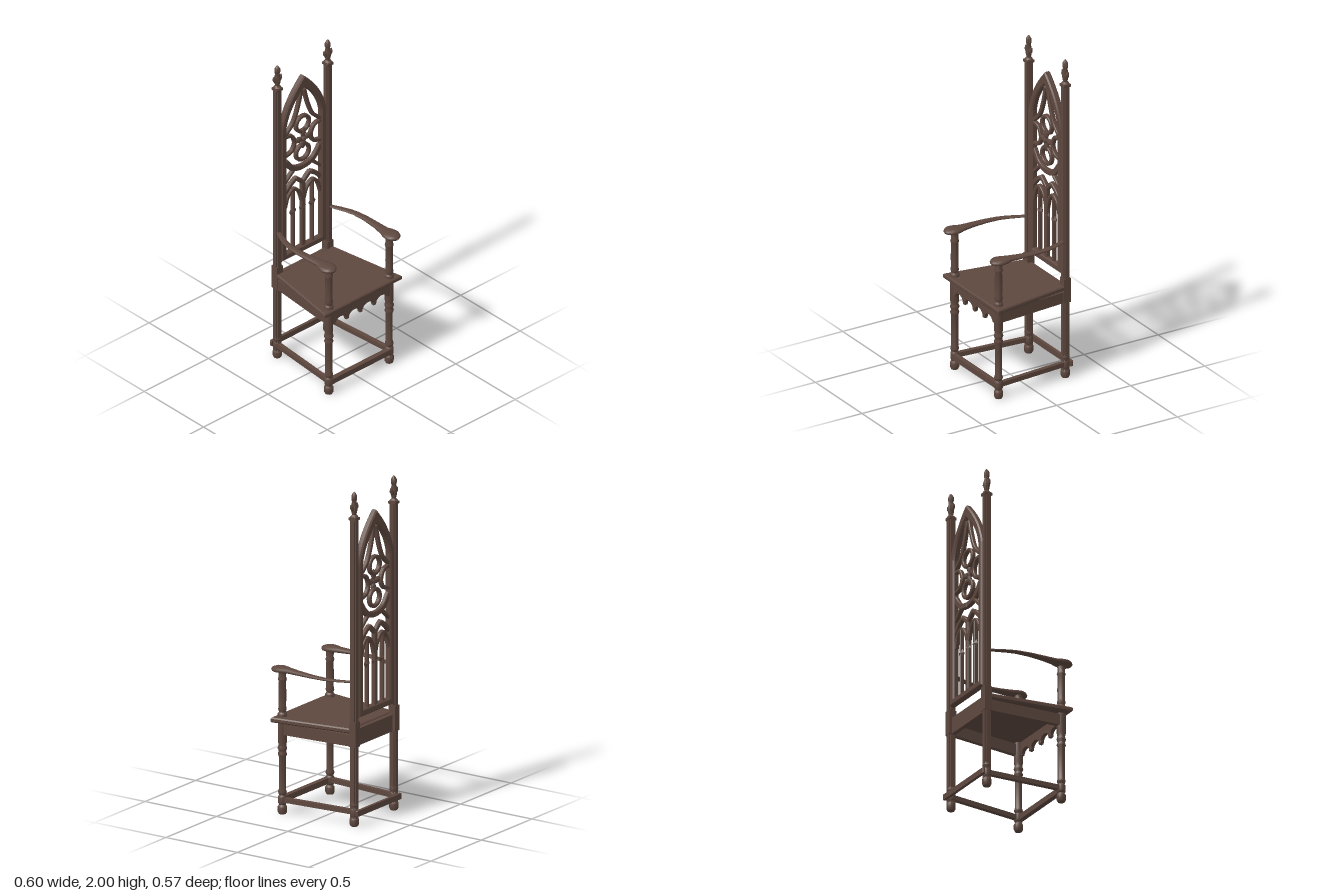
import * as THREE from 'three';
import { toCreasedNormals } from 'three/addons/utils/BufferGeometryUtils.js';

const V2 = (p) => new THREE.Vector2(p[0], p[1]);

export function createModel() {
  const chair = new THREE.Group();
  chair.name = 'chair';
  const wood = new THREE.MeshStandardMaterial({ color: 0x5e483f });
  wood.name = 'dark wood';

  const add = (name, geo, x = 0, y = 0, z = 0, parent = chair) => {
    const m = new THREE.Mesh(geo, wood);
    m.name = name;
    m.position.set(x, y, z);
    parent.add(m);
    return m;
  };
  const box = (name, w, h, d, x, y, z) => add(name, new THREE.BoxGeometry(w, h, d), x, y, z);
  const lathe = (pts, n = 12) => toCreasedNormals(new THREE.LatheGeometry(pts.map(V2), n), 0.7);

  // Flat shape thickened around z = 0, with a chamfered edge
  const plate = (shape, depth, bevel = 0.004) => {
    const g = new THREE.ExtrudeGeometry(shape, {
      depth: depth - 2 * bevel, bevelSize: bevel, bevelThickness: bevel,
      bevelOffset: -bevel, bevelSegments: 1, curveSegments: 14,
    });
    return g.translate(0, 0, -depth / 2 + bevel);
  };

  // Ribbon of even width along a smooth line
  const ribbon = (pts, w) => {
    const curve = new THREE.SplineCurve(pts.map(V2));
    const a = [], b = [];
    for (let i = 0; i <= 16; i++) {
      const p = curve.getPoint(i / 16), t = curve.getTangent(i / 16);
      const n = new THREE.Vector2(-t.y, t.x).multiplyScalar(w / 2);
      a.push(p.clone().add(n));
      b.unshift(p.clone().sub(n));
    }
    return new THREE.Shape([...a, ...b]);
  };

  // Horizontal beam between two floor points
  const beam = (name, x1, z1, x2, z2, y, w, h) => {
    const s = new THREE.Shape([[-w / 2, -h / 2], [w / 2, -h / 2], [w / 2, h / 2], [-w / 2, h / 2]].map(V2));
    const m = add(name, plate(s, Math.hypot(x2 - x1, z2 - z1), 0.004), (x1 + x2) / 2, y, (z1 + z2) / 2);
    m.rotation.y = Math.atan2(x2 - x1, z2 - z1);
  };

  // Loft through ellipses [x, y, z, half width, half height] running along z
  const loft = (rows, n = 12) => {
    const pos = [], idx = [];
    rows.forEach(([x, y, z, w, h], i) => {
      for (let j = 0; j < n; j++) {
        const t = (j / n) * Math.PI * 2;
        pos.push(x + w * Math.cos(t), y + h * Math.sin(t), z);
        if (i === rows.length - 1) continue;
        const a = i * n + j, b = i * n + ((j + 1) % n);
        idx.push(a, b, a + n, b, b + n, a + n);
      }
    });
    const g = new THREE.BufferGeometry();
    g.setAttribute('position', new THREE.Float32BufferAttribute(pos, 3));
    g.setIndex(idx);
    g.computeVertexNormals();
    return g;
  };

  // Seat board, narrower at the back
  const seat = new THREE.Shape([[-0.3, 0.265], [-0.22, -0.23], [0.22, -0.23], [0.3, 0.265]].map(V2));
  add('seat', plate(seat, 0.03, 0.007).rotateX(Math.PI / 2), 0, 0.568, 0);

  // Front apron with four arches and small pendants
  const apron = new THREE.Shape();
  apron.moveTo(-0.225, 0.554);
  apron.lineTo(-0.225, 0.468);
  for (let k = 0; k < 4; k++) {
    const cx = -0.159 + k * 0.106;
    apron.lineTo(cx - 0.041, 0.468);
    apron.absellipse(cx, 0.468, 0.041, 0.032, Math.PI, 0, true, 0);
    if (k < 3) {
      apron.lineTo(cx + 0.044, 0.458);
      apron.lineTo(cx + 0.062, 0.458);
    }
  }
  apron.lineTo(0.225, 0.468);
  apron.lineTo(0.225, 0.554);
  add('frontApron', plate(apron, 0.024, 0.003), 0, 0, 0.235);
  box('backApron', 0.36, 0.1, 0.025, 0, 0.525, -0.245);
  beam('frontStretcher', -0.23, 0.235, 0.23, 0.235, 0.083, 0.03, 0.034);
  beam('backStretcher', -0.22, -0.281, 0.22, -0.281, 0.083, 0.018, 0.034);

  const legProfile = [[0, 0], [0.021, 0], [0.027, 0.012], [0.027, 0.042], [0.019, 0.055], [0.025, 0.064],
    [0.025, 0.102], [0.019, 0.112], [0.026, 0.128], [0.021, 0.145], [0.021, 0.34], [0.027, 0.357],
    [0.021, 0.373], [0.028, 0.392], [0.022, 0.41], [0.026, 0.43], [0.026, 0.556]];
  const supportProfile = [[0.027, 0.58], [0.027, 0.598], [0.02, 0.608], [0.025, 0.625], [0.021, 0.645],
    [0.023, 0.7], [0.021, 0.79], [0.026, 0.805], [0.021, 0.82], [0.024, 0.86]];
  const finialProfile = [[0.024, 1.84], [0.024, 1.85], [0.013, 1.862], [0.018, 1.885], [0.02, 1.91],
    [0.013, 1.94], [0.017, 1.955], [0.017, 1.975], [0.009, 1.99], [0, 2]];
  // Outline of a post with stepped corners
  const o = 0.021, i = 0.013;
  const post = new THREE.Shape([[-o, -i], [-i, -i], [-i, -o], [i, -o], [i, -i], [o, -i],
    [o, i], [i, i], [i, o], [-i, o], [-i, i], [-o, i]].map(V2));

  for (const s of [-1, 1]) {
    add('frontLeg', lathe(legProfile), s * 0.235, 0, 0.226);
    add('armSupport', lathe(supportProfile), s * 0.235, 0, 0.226);
    beam('sideApron', s * 0.24, 0.225, s * 0.2, -0.245, 0.51, 0.026, 0.068);
    beam('sideStretcher', s * 0.237, 0.225, s * 0.198, -0.25, 0.085, 0.026, 0.028);

    // Curved arm ending in a rounded knob
    add('arm', loft([[0.2, 0.86, -0.24, 0.001, 0.001], [0.2, 0.86, -0.239, 0.014, 0.006],
      [0.225, 0.86, -0.18, 0.019, 0.006], [0.243, 0.861, -0.13, 0.02, 0.007],
      [0.255, 0.862, -0.08, 0.02, 0.008], [0.26, 0.864, 0, 0.022, 0.01], [0.255, 0.866, 0.1, 0.026, 0.013],
      [0.248, 0.867, 0.17, 0.033, 0.016], [0.248, 0.867, 0.2, 0.046, 0.018], [0.248, 0.867, 0.235, 0.052, 0.019],
      [0.248, 0.866, 0.262, 0.042, 0.017], [0.248, 0.865, 0.279, 0.024, 0.011],
      [0.248, 0.865, 0.285, 0.001, 0.001]].map(([x, ...r]) => [s * x, ...r])), 0, 0, 0);

    // Back post with foot, thicker block at seat height and collar
    add('backPost', plate(post, 1.84, 0.001).rotateX(Math.PI / 2), s * 0.196, 0.925, -0.249);
    add('backFoot', lathe(legProfile.slice(0, 10)), s * 0.196, 0, -0.249);
    box('postBlock', 0.046, 0.15, 0.046, s * 0.196, 0.55, -0.25);
    box('postCollar', 0.046, 0.015, 0.048, s * 0.196, 1.838, -0.249);

    // Finial with leaves to each side
    const finial = new THREE.Group();
    finial.name = 'finial';
    finial.position.set(s * 0.196, 0, -0.249);
    chair.add(finial);
    add('finialBud', lathe(finialProfile, 8), 0, 0, 0, finial);
    for (const t of [-1, 1]) {
      for (const [x, y, r] of [[0.02, 1.905, 0.02], [0.013, 1.955, 0.012]]) {
        const leaf = add('finialLeaf', new THREE.OctahedronGeometry(r, 1), t * x, y, 0, finial);
        leaf.scale.set(0.65, 1.3, 0.65);
        leaf.rotation.z = -t * 0.35;
      }
    }
  }

  // Pointed back frame
  const archOutline = (S, x, bottom, spring, apex, cx, cy) => {
    const p = new S();
    p.moveTo(-x, bottom);
    p.lineTo(x, bottom);
    p.lineTo(x, spring);
    p.quadraticCurveTo(cx, cy, 0, apex);
    p.quadraticCurveTo(-cx, cy, -x, spring);
    p.lineTo(-x, bottom);
    return p;
  };
  const frame = archOutline(THREE.Shape, 0.175, 0.643, 1.55, 1.845, 0.15, 1.7);
  frame.holes.push(archOutline(THREE.Path, 0.133, 0.685, 1.55, 1.765, 0.11, 1.67));
  const zBack = -0.251;
  add('backFrame', plate(frame, 0.04, 0.008), 0, 0, zBack);

  // Tracery: mirrored ribs as [width, points]
  const ribs = [
    [0.018, [[0.075, 0.68], [0.075, 1.09]]],
    [0.02, [[0.137, 0.99], [0.115, 1.06], [0.075, 1.095], [0.03, 1.06], [0.006, 0.99]]],
    [0.026, [[0.137, 1.09], [0.1, 1.13], [0.055, 1.16]]],
    [0.026, [[0.06, 1.163], [0.03, 1.14], [0, 1.11]]],
    [0.02, [[0.137, 1.165], [0.1, 1.2], [0.06, 1.235]]],
    [0.034, [[0.137, 1.31], [0.09, 1.25], [0.045, 1.227], [0, 1.22]]],
    [0.022, [[0.137, 1.475], [0.088, 1.465], [0.062, 1.41], [0.085, 1.36], [0.137, 1.345]]],
    [0.022, [[0.01, 1.75], [0.035, 1.65], [0.075, 1.55], [0.137, 1.49]]],
  ];
  for (const s of [-1, 1])
    for (const [w, pts] of ribs)
      add('traceryRib', plate(ribbon(pts.map(([x, y]) => [s * x, y]), w), 0.026), 0, 0, zBack);
  add('centreMullion', plate(ribbon([[0, 0.68], [0, 1.12]], 0.028), 0.028), 0, 0, zBack);
  for (const x of [-0.075, 0, 0.075])
    add('mullionDiamond', new THREE.OctahedronGeometry(1).scale(0.028, 0.045, 0.018), x, 0.942, zBack);

  // Rings above and below the flower
  for (const y of [1.318, 1.512]) {
    const ring = new THREE.Shape().absarc(0, 0, 0.061, 0, Math.PI * 2);
    ring.holes.push(new THREE.Path().absarc(0, 0, 0.04, 0, Math.PI * 2));
    add('traceryRing', plate(ring, 0.026), 0, y, zBack);
  }

  // Four-petal flower
  add('flowerCentre', new THREE.OctahedronGeometry(0.02, 1), 0, 1.415, -0.241);
  for (let k = 0; k < 4; k++) {
    const t = (k * Math.PI) / 2;
    const petal = add('flowerPetal', new THREE.OctahedronGeometry(1, 1).scale(0.036, 0.02, 0.014),
      Math.cos(t) * 0.036, 1.415 + Math.sin(t) * 0.036, -0.245);
    petal.rotation.z = t;
  }
  return chair;
}
